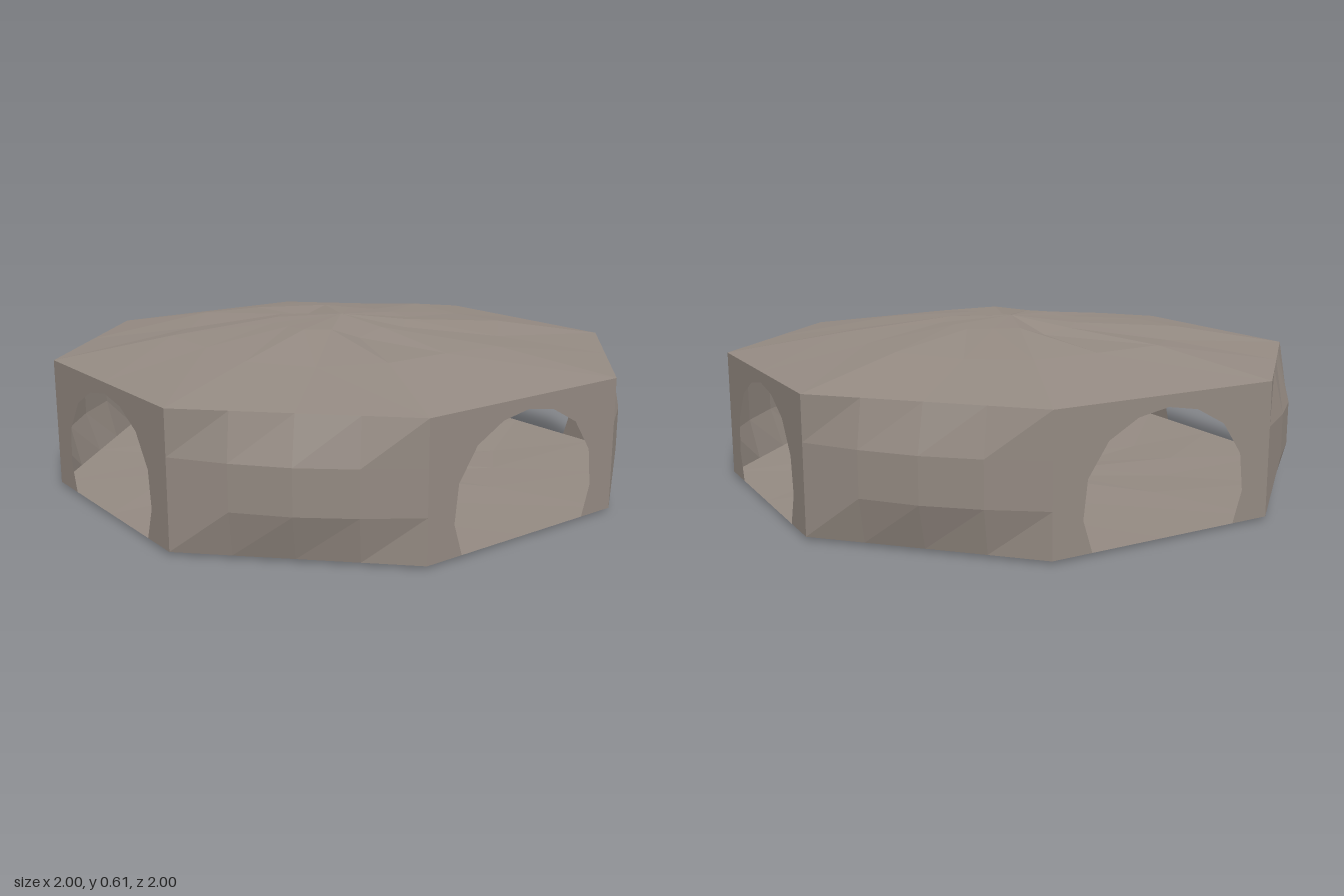
import * as THREE from 'three';

const K = 0.425, BASE = 0.01, TOP = 0.48;

const stone = new THREE.MeshStandardMaterial({ color: 0x948a82, flatShading: true, side: THREE.DoubleSide });
stone.name = 'stone';

// Octagon outline: corners plus edge midpoints, counterclockwise from above
const M = (1 + K) / 2;
const outline = [];
for (let q = 0; q < 4; q++) {
  for (const [x, z] of [[1, 0], [1, -K], [M, -M], [K, -1]]) {
    const c = Math.round(Math.cos(q * Math.PI / 2)), s = Math.round(Math.sin(q * Math.PI / 2));
    outline.push([x * c + z * s, z * c - x * s]);
  }
}

function meshFrom(name, positions, index) {
  const g = new THREE.BufferGeometry();
  g.setAttribute('position', new THREE.Float32BufferAttribute(positions, 3));
  g.setIndex(index);
  g.computeVertexNormals();
  const mesh = new THREE.Mesh(g, stone);
  mesh.name = name;
  return mesh;
}

// Rough octagonal sheet: centre fan plus two bands of rings
function roughSheet(name, centre, inner, middle, edge, down) {
  const pos = [0, centre, 0], idx = [], n = outline.length;
  [[0.25, inner], [0.6, middle], [1, outline.map(() => edge)]].forEach(([s, heights]) => {
    outline.forEach(([x, z], i) => pos.push(x * s, heights[i], z * s));
  });
  const tri = (a, b, c) => (down ? idx.push(a, c, b) : idx.push(a, b, c));
  for (let i = 0; i < n; i++) {
    const j = (i + 1) % n;
    tri(0, 1 + i, 1 + j);
    for (let r = 0; r < 2; r++) {
      const a = 1 + r * n, b = a + n;
      tri(a + i, b + i, b + j);
      tri(a + i, b + j, a + j);
    }
  }
  return meshFrom(name, pos, idx);
}

// Flat wall with an arched doorway
function archWall() {
  const s = new THREE.Shape();
  const half = [[0.28, BASE], [0.315, 0.12], [0.3, 0.25], [0.225, 0.36], [0.115, 0.42]];
  s.moveTo(-K, BASE);
  half.forEach(([x, y]) => s.lineTo(-x, y));
  s.lineTo(0, 0.44);
  half.slice().reverse().forEach(([x, y]) => s.lineTo(x, y));
  s.lineTo(K, BASE);
  s.lineTo(K, TOP);
  s.lineTo(-K, TOP);
  const mesh = new THREE.Mesh(new THREE.ShapeGeometry(s).translate(0, 0, 1), stone);
  mesh.name = 'archedWall';
  return mesh;
}

// Diagonal wall that swells outward in its middle
function bulgedWall() {
  const pos = [], idx = [], cols = 4, rows = 3;
  for (let r = 0; r <= rows; r++) {
    for (let c = 0; c <= cols; c++) {
      const u = c / cols, v = r / rows;
      const out = 0.042 * Math.sin(Math.PI * u) * Math.sin(Math.PI * v);
      pos.push(K + (1 - K) * u + out, BASE + (TOP - BASE) * v, 1 - (1 - K) * u + out);
      if (r < rows && c < cols) {
        const a = r * (cols + 1) + c, b = a + cols + 1;
        idx.push(a, a + 1, b + 1, a, b + 1, b);
      }
    }
  }
  return meshFrom('bulgedWall', pos, idx);
}

export function createModel() {
  const model = new THREE.Group();
  model.name = 'caveChamber';

  model.add(roughSheet('ceiling', 0.607,
    [0.592, 0.58, 0.592, 0.582, 0.588, 0.585, 0.59, 0.597, 0.563, 0.582, 0.588, 0.582, 0.585, 0.59, 0.592, 0.565],
    [0.553, 0.545, 0.535, 0.55, 0.545, 0.552, 0.54, 0.548, 0.55, 0.555, 0.535, 0.552, 0.55, 0.542, 0.53, 0.553],
    TOP, false));
  model.add(roughSheet('floor', 0.008,
    [0.01, 0.004, 0.012, 0.006, 0.01, 0.008, 0.002, 0.01, 0.013, 0.006, 0.01, 0.003, 0.009, 0.012, 0.005, 0.01],
    [0.006, 0.012, 0.008, 0.002, 0.011, 0.006, 0.012, 0.004, 0.009, 0.013, 0.005, 0.01, 0, 0.009, 0.012, 0.004],
    BASE, true));

  // Four sides, each an arched wall and its neighbouring diagonal
  for (let q = 0; q < 4; q++) {
    const side = new THREE.Group();
    side.name = 'wallSection' + (q + 1);
    side.add(archWall(), bulgedWall());
    side.rotation.y = q * Math.PI / 2;
    model.add(side);
  }
  return model;
}
